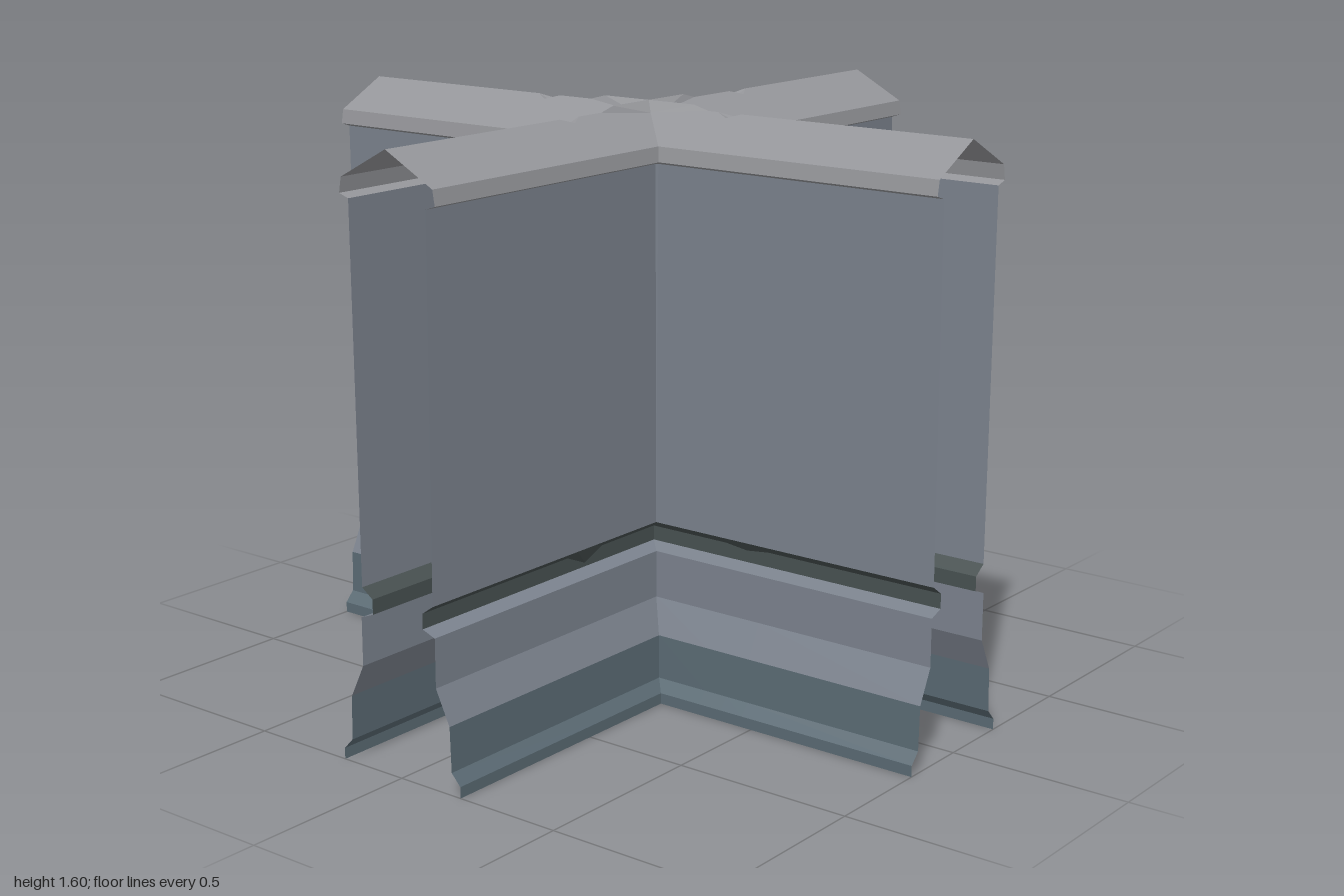
import * as THREE from 'three';

const paint = (color) => new THREE.MeshStandardMaterial({
  color, flatShading: true, side: THREE.DoubleSide,
});
const stone = paint(0x7a818c);
const teal = paint(0x596972);
const dark = paint(0x475050);
const coping = paint(0x949599);

// Wall sections from bottom to top: name, material, [half width, height] pairs.
const SECTIONS = [
  ['plinth', teal, [[0.2, 0], [0.2, 0.03], [0.172, 0.06], [0.168, 0.18]]],
  ['baseMoulding', stone, [[0.168, 0.18], [0.125, 0.27], [0.125, 0.4], [0.085, 0.415]]],
  ['groove', dark, [[0.085, 0.415], [0.085, 0.455], [0.12, 0.48]]],
  ['wallPanel', stone, [[0.12, 0.48], [0.127, 1.46]]],
  ['eave', coping, [[0.127, 1.46], [0.157, 1.47], [0.15, 1.51]]],
];
const EAVE = { w: 0.15, y: 1.51 };
const RIDGE = 1.59;

function meshFrom(name, material, triangles, flip) {
  const pos = [];
  for (const [a, b, c] of triangles) pos.push(...a, ...(flip ? c : b), ...(flip ? b : c));
  const geometry = new THREE.BufferGeometry();
  geometry.setAttribute('position', new THREE.Float32BufferAttribute(pos, 3));
  geometry.computeVertexNormals();
  const mesh = new THREE.Mesh(geometry, material);
  mesh.name = name;
  return mesh;
}

// One inner corner of the cross: sections swept from an x arm's end to a z arm's end.
// Each chip is a [position, depth] pair on the groove of that arm.
function createCorner({ sx, sz, chipX, chipZ, fill }) {
  const corner = new THREE.Group();
  corner.name = 'wallCorner';

  // A row of points at one height; the groove's upper edge dips at the chip.
  const row = ([w, y]) => {
    const c = y === 1.46 ? fill : 0;
    const run = ([at, depth]) => [
      [1, w, y], [at + 0.07, w, y], [at, w, y === 0.455 ? y - depth : y],
      [at - 0.07, w, y], [w + c, w, y],
    ];
    const alongX = run(chipX).map(([s, d, h]) => [sx * s, h, sz * d]);
    const alongZ = run(chipZ).map(([s, d, h]) => [sx * d, h, sz * s]).reverse();
    return [...alongX, ...alongZ];
  };

  for (const [name, material, profile] of SECTIONS) {
    const rows = profile.map(row);
    const triangles = [];
    for (let j = 0; j < rows.length - 1; j++) {
      for (let i = 0; i < rows[j].length - 1; i++) {
        const a = rows[j][i], b = rows[j][i + 1];
        const d = rows[j + 1][i], e = rows[j + 1][i + 1];
        triangles.push([a, d, b], [b, d, e]);
      }
    }
    corner.add(meshFrom(name, material, triangles, sx * sz < 0));
  }
  return corner;
}

// Gabled coping of one arm along +x, with a chipped ridge and one ray of the centre star.
function createRoofArm(chip) {
  const arm = new THREE.Group();
  arm.name = 'roofArm';
  const slope = (v) => RIDGE - (RIDGE - EAVE.y) * v / EAVE.w;
  const tip = [0.15, 1.603, 0];
  const apex = [0, 1.603, 0];

  for (const side of [1, -1]) {
    const outline = [
      [1, EAVE.w], [EAVE.w, EAVE.w], [0.03, 0.03], [0.15, 0], [0.2, 0],
      [chip - 0.04, 0], [chip, 0.02], [chip + 0.035, 0], [1, 0],
    ];
    const points = outline.map(([u, v], i) => [u, i === 3 ? tip[1] : slope(v), side * v]);
    const faces = THREE.ShapeUtils.triangulateShape(
      outline.map(([u, v]) => new THREE.Vector2(u, v)), []);

    // Wind every triangle so that it faces up.
    const up = (t) => {
      const [a, b, c] = t;
      const ny = (b[2] - a[2]) * (c[0] - a[0]) - (b[0] - a[0]) * (c[2] - a[2]);
      return ny < 0 ? [a, c, b] : t;
    };
    const panel = faces.map((f) => up(f.map((i) => points[i])));
    arm.add(meshFrom('roofSlope', coping, panel, false));

    const dent = [chip, 1.576, 0];
    arm.add(meshFrom('ridgeChip', coping, [
      up([points[5], dent, points[6]]), up([dent, points[7], points[6]]),
    ], false));
    arm.add(meshFrom('starRay', coping, [up([apex, tip, points[2]])], false));
  }
  return arm;
}

export function createModel() {
  const model = new THREE.Group();
  model.name = 'crossWall';

  const corners = [
    { sx: 1, sz: 1, chipX: [0.44, 0.008], chipZ: [0.34, 0.03], fill: 0.03 },
    { sx: -1, sz: 1, chipX: [0.38, 0.03], chipZ: [0.4, 0.008], fill: 0.005 },
    { sx: 1, sz: -1, chipX: [0.4, 0.03], chipZ: [0.36, 0.008], fill: 0.025 },
    { sx: -1, sz: -1, chipX: [0.38, 0.008], chipZ: [0.4, 0.03], fill: 0.015 },
  ];
  corners.forEach((c) => model.add(createCorner(c)));

  // Arms in turn: +x, -z, -x, +z.
  [0.4, 0.35, 0.33, 0.27].forEach((chip, k) => {
    const arm = createRoofArm(chip);
    arm.rotation.y = k * Math.PI / 2;
    model.add(arm);
  });
  return model;
}
